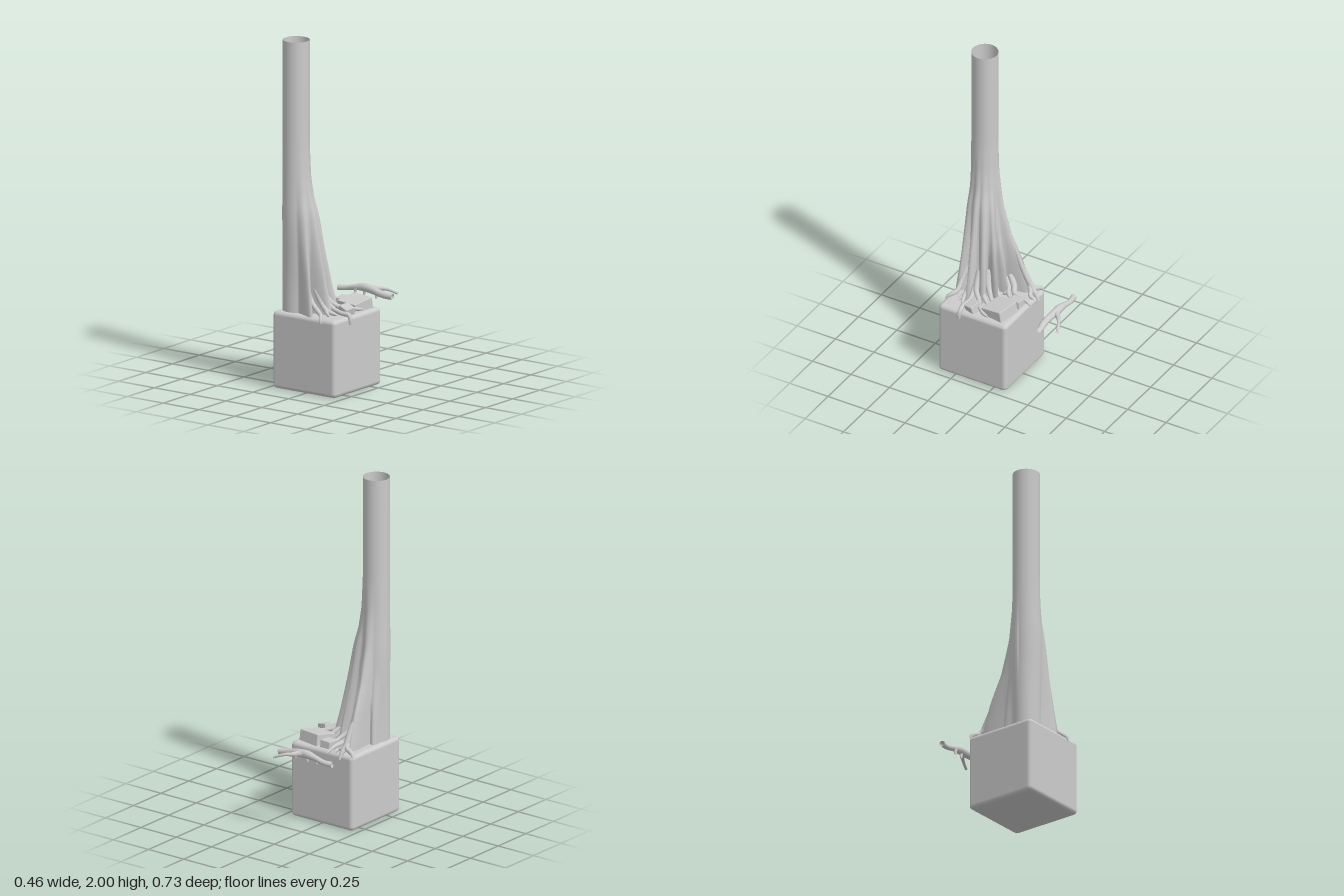
import * as THREE from 'three';
import { mergeVertices } from 'three/addons/utils/BufferGeometryUtils.js';
import { RoundedBoxGeometry } from 'three/addons/geometries/RoundedBoxGeometry.js';

const material = new THREE.MeshStandardMaterial({ color: 0xcccccc, side: THREE.DoubleSide });
const TRUNK = { x: -0.131, z: 0.256, r: 0.076 };

function addMesh(parent, name, geometry) {
  const mesh = new THREE.Mesh(geometry, material);
  mesh.name = name;
  parent.add(mesh);
  return mesh;
}

// piecewise-linear lookup in [position, value] pairs, eased between them
function sample(pairs, t) {
  if (t <= pairs[0][0]) return pairs[0][1];
  for (let i = 1; i < pairs.length; i++) {
    const [a, va] = pairs[i - 1], [b, vb] = pairs[i];
    if (t <= b) return THREE.MathUtils.lerp(va, vb, (t - a) / (b - a));
  }
  return pairs[pairs.length - 1][1];
}

// limb along points [x, y, z, radius]; blunt leaves the far end open
function limb(points, blunt = false, radial = 10) {
  const curve = new THREE.CatmullRomCurve3(points.map(p => new THREE.Vector3(p[0], p[1], p[2])));
  const rings = points.length * 5;
  const geometry = new THREE.TubeGeometry(curve, rings, 1, radial, false);
  const pos = geometry.attributes.position;
  const v = new THREE.Vector3();
  // radius follows the arc-length position of each control point
  const lengths = curve.getLengths(200);
  const radii = points.map((p, i) => [
    lengths[Math.round(200 * i / (points.length - 1))] / lengths[200], p[3]]);
  for (let i = 0; i <= rings; i++) {
    const centre = curve.getPointAt(i / rings);
    let r = sample(radii, i / rings);
    if (!blunt && i === rings) r = 0.0005;
    else if (!blunt && i === rings - 1) r *= 0.8;
    for (let j = 0; j <= radial; j++) {
      const k = i * (radial + 1) + j;
      v.fromBufferAttribute(pos, k).sub(centre).multiplyScalar(r).add(centre);
      pos.setXYZ(k, v.x, v.y, v.z);
    }
  }
  return geometry;
}

// open trunk whose lower part swells into buttresses
function trunkGeometry() {
  const backReach = [[0.42, 0.23], [0.5, 0.215], [0.64, 0.165], [0.8, 0.09], [1, 0.035], [1.2, 0.01], [1.4, 0]];
  const sideReach = [[0.42, 0.17], [0.5, 0.155], [0.6, 0.13], [0.8, 0.088], [1, 0.053], [1.1, 0.025], [1.22, 0.008], [1.4, 0]];
  // [angle from +x toward the back, reach scale, width, profile]
  const lobes = [
    [95, 1, 9, backReach], [118, 0.22, 16, backReach], [74, 0.5, 10, backReach],
    [50, 0.85, 9, sideReach], [27, 1, 10, sideReach], [4, 1, 9, sideReach],
    [-26, 0.72, 10, sideReach], [40, 0.38, 55, sideReach],
  ];
  const rows = 44;
  const geometry = new THREE.CylinderGeometry(1, 1, 1, 96, rows, true);
  geometry.deleteAttribute('uv');
  geometry.deleteAttribute('normal');
  const merged = mergeVertices(geometry);
  const pos = merged.attributes.position;
  for (let i = 0; i < pos.count; i++) {
    const t = pos.getY(i) + 0.5;
    const y = 0.425 + 1.575 * Math.pow(t, 1.5);
    const a = Math.atan2(-pos.getZ(i), pos.getX(i));
    const spread = 1 + 1.4 * THREE.MathUtils.smoothstep(y, 0.5, 1.15);
    let swell = 0;
    for (const [deg, scale, width, profile] of lobes) {
      const d = THREE.MathUtils.radToDeg(a) - deg;
      const g = Math.exp(-Math.pow(d / (width * spread), 2));
      swell = Math.max(swell, scale * sample(profile, y) * g);
    }
    const r = TRUNK.r + swell;
    pos.setXYZ(i, TRUNK.x + r * Math.cos(a), y, TRUNK.z - r * Math.sin(a));
  }
  merged.computeVertexNormals();
  return merged;
}

export function createModel() {
  const model = new THREE.Group();
  model.name = 'treeOnBlock';

  // base block with softened edges
  addMesh(model, 'baseBlock', new RoundedBoxGeometry(0.438, 0.445, 0.44, 2, 0.024))
    .position.set(-0.006, 0.2225, 0.137);

  addMesh(model, 'trunk', trunkGeometry());

  // roots creeping over the block, each [x, y, z, radius]
  const roots = new THREE.Group();
  roots.name = 'roots';
  model.add(roots);
  const rootPaths = {
    backRoot: [[-0.147, 0.72, 0.07, 0.012], [-0.147, 0.62, 0.03, 0.015], [-0.146, 0.54, -0.01, 0.017], [-0.148, 0.485, -0.04, 0.017], [-0.142, 0.45, -0.07, 0.013], [-0.139, 0.41, -0.09, 0.009]],
    backRootLeftFork: [[-0.148, 0.5, -0.025, 0.015], [-0.165, 0.475, -0.05, 0.015], [-0.19, 0.465, -0.056, 0.014], [-0.212, 0.453, -0.064, 0.012], [-0.222, 0.435, -0.07, 0.008]],
    backRootRightFork: [[-0.145, 0.5, -0.025, 0.014], [-0.125, 0.47, -0.045, 0.013], [-0.105, 0.46, -0.055, 0.012], [-0.1, 0.45, -0.08, 0.008]],
    longBackRoot: [[-0.13, 0.54, 0.09, 0.018], [-0.105, 0.49, 0.05, 0.018], [-0.075, 0.468, 0.03, 0.016], [-0.062, 0.462, -0.01, 0.013], [-0.06, 0.455, -0.05, 0.011], [-0.052, 0.435, -0.09, 0.007]],
    hookedRoot: [[-0.12, 0.52, 0.11, 0.014], [-0.09, 0.485, 0.075, 0.014], [-0.06, 0.47, 0.06, 0.013], [-0.035, 0.455, 0.038, 0.009]],
    hookedRootSpur: [[-0.062, 0.47, 0.062, 0.012], [-0.057, 0.462, 0.078, 0.012], [-0.056, 0.45, 0.092, 0.009]],
    shortRoot: [[-0.045, 0.53, 0.155, 0.018], [-0.02, 0.48, 0.11, 0.014], [-0.004, 0.46, 0.075, 0.011], [-0.003, 0.445, 0.028, 0.006]],
    innerRoot: [[-0.035, 0.6, 0.18, 0.02], [0.0, 0.52, 0.155, 0.017], [0.028, 0.475, 0.125, 0.014], [0.05, 0.445, 0.1, 0.009]],
    middleRoot: [[-0.01, 0.6, 0.2, 0.02], [0.035, 0.51, 0.178, 0.016], [0.065, 0.475, 0.14, 0.013], [0.09, 0.45, 0.1, 0.009]],
    curlingRoot: [[0.0, 0.6, 0.212, 0.02], [0.06, 0.51, 0.198, 0.016], [0.1, 0.475, 0.155, 0.013], [0.15, 0.465, 0.118, 0.011], [0.175, 0.46, 0.085, 0.01], [0.183, 0.45, 0.045, 0.006]],
    longSideRoot: [[0.0, 0.58, 0.228, 0.02], [0.06, 0.5, 0.215, 0.016], [0.11, 0.468, 0.21, 0.013], [0.16, 0.46, 0.22, 0.013], [0.205, 0.455, 0.214, 0.014], [0.219, 0.43, 0.216, 0.013], [0.216, 0.395, 0.217, 0.008]],
    forkedSideRoot: [[0.0, 0.58, 0.25, 0.02], [0.05, 0.5, 0.252, 0.017], [0.085, 0.468, 0.257, 0.014], [0.12, 0.458, 0.25, 0.011], [0.145, 0.45, 0.24, 0.007]],
    forkedSideRootSpur: [[0.075, 0.47, 0.256, 0.013], [0.095, 0.46, 0.27, 0.011], [0.118, 0.448, 0.283, 0.007]],
    frontRoot: [[-0.06, 0.68, 0.29, 0.015], [-0.02, 0.59, 0.305, 0.018], [0.025, 0.515, 0.313, 0.015], [0.07, 0.472, 0.315, 0.014], [0.1, 0.458, 0.334, 0.012], [0.113, 0.44, 0.354, 0.01], [0.118, 0.415, 0.358, 0.006]],
  };
  for (const [name, path] of Object.entries(rootPaths)) addMesh(roots, name, limb(path));

  // loose stones: size, position, rotation
  const stones = [
    ['largeStone', [0.146, 0.075, 0.136], [0.103, 0.461, 0.02], [0.17, -0.17, 0]],
    ['squareStone', [0.066, 0.06, 0.076], [-0.01, 0.455, -0.02], [0.08, 0, 0.05]],
    ['smallStone', [0.072, 0.065, 0.062], [0.152, 0.459, 0.162], [0.15, -0.33, -0.2]],
  ];
  for (const [name, size, position, rotation] of stones) {
    const stone = addMesh(model, name, new RoundedBoxGeometry(...size, 1, 0.005));
    stone.position.set(...position);
    stone.rotation.set(...rotation);
  }

  // fallen branch behind the block
  const branch = new THREE.Group();
  branch.name = 'fallenBranch';
  model.add(branch);
  addMesh(branch, 'branchStem', limb([
    [-0.228, 0.455, -0.264, 0.017], [-0.17, 0.46, -0.274, 0.015], [-0.11, 0.472, -0.272, 0.017], [-0.06, 0.48, -0.272, 0.024],
    [0.0, 0.476, -0.267, 0.023], [0.06, 0.466, -0.258, 0.02], [0.1, 0.46, -0.259, 0.02], [0.148, 0.455, -0.267, 0.018]], true, 12));
  addMesh(branch, 'branchFork', limb([
    [-0.045, 0.478, -0.272, 0.018], [-0.005, 0.478, -0.288, 0.018], [0.02, 0.476, -0.312, 0.012], [0.06, 0.472, -0.337, 0.009], [0.115, 0.452, -0.36, 0.008]], true));
  for (const [x, z] of [[-0.105, -0.262], [-0.045, -0.268], [0.05, -0.255]]) {
    addMesh(branch, 'branchStub', limb([[x, 0.47, z, 0.012], [x - 0.004, 0.448, z, 0.008], [x - 0.008, 0.43, z + 0.004, 0.006]]));
  }
  return model;
}
